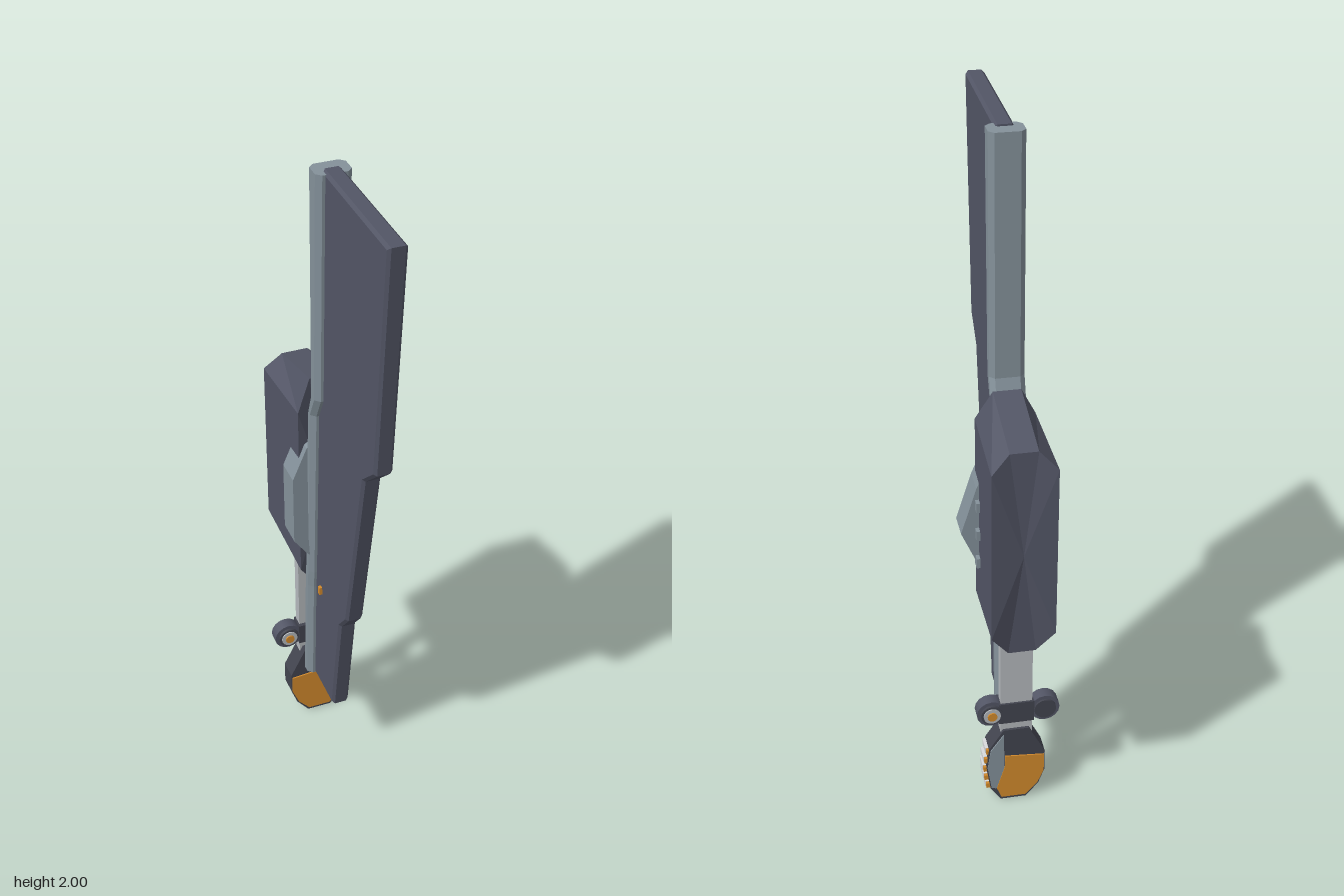
import * as THREE from 'three';

const mat = (name, color) => Object.assign(new THREE.MeshStandardMaterial({ color }), { name });

// Closed faceted solid from rings of [x, y, z] points; winding is corrected by volume sign
function loft(rings) {
  const tris = [];
  const n = rings[0].length;
  for (let r = 0; r + 1 < rings.length; r++) {
    for (let i = 0; i < n; i++) {
      const j = (i + 1) % n, a = rings[r], b = rings[r + 1];
      tris.push([a[i], a[j], b[j]], [a[i], b[j], b[i]]);
    }
  }
  const cap = (ring, flip) => {
    const c = [0, 1, 2].map(k => ring.reduce((s, p) => s + p[k], 0) / n);
    ring.forEach((p, i) => {
      const q = ring[(i + 1) % n];
      tris.push(flip ? [c, q, p] : [c, p, q]);
    });
  };
  cap(rings[0], true);
  cap(rings[rings.length - 1], false);
  let volume = 0;
  const v = p => new THREE.Vector3(...p);
  for (const [a, b, c] of tris) volume += v(a).dot(v(b).cross(v(c)));
  const flat = tris.flatMap(t => (volume < 0 ? [t[0], t[2], t[1]] : t)).flat();
  const g = new THREE.BufferGeometry();
  g.setAttribute('position', new THREE.Float32BufferAttribute(flat, 3));
  g.computeVertexNormals();
  return g;
}

// Outline in x/y extruded from z0 to z1
function slab(points, z0, z1, bevel = 0) {
  const shape = new THREE.Shape(points.map(p => new THREE.Vector2(...p)));
  const g = new THREE.ExtrudeGeometry(shape, {
    depth: z1 - z0 - 2 * bevel, bevelEnabled: bevel > 0, bevelSegments: 1,
    bevelSize: bevel, bevelThickness: bevel, bevelOffset: -bevel,
  });
  return g.translate(0, 0, z0 + bevel);
}

export function createModel() {
  const root = new THREE.Group();
  root.name = 'bladedTool';
  const slate = mat('slate', 0x525565);
  const steel = mat('steel', 0x84919a);
  const pale = mat('paleMetal', 0xb4b8bc);
  const rib = mat('offWhite', 0xd8dadc);
  const dark = mat('darkGrip', 0x42444f);
  const orange = mat('orange', 0xd28a2c);

  const add = (name, geometry, material, parent = root) => {
    const m = new THREE.Mesh(geometry, material);
    m.name = name;
    parent.add(m);
    return m;
  };
  const box = (name, x0, x1, y0, y1, z0, z1, material, parent) =>
    add(name, new THREE.BoxGeometry(x1 - x0, y1 - y0, z1 - z0)
      .translate((x0 + x1) / 2, (y0 + y1) / 2, (z0 + z1) / 2), material, parent);

  // Long stepped blade, outlined in z/y and turned to stand along z
  const blade = slab([
    [0.39, 2], [0.33, 1.32], [0.254, 1.25], [0.138, 0.67], [0.085, 0.605], [0.027, 0.24],
    [-0.14, 0.24], [-0.085, 1.25], [-0.05, 1.32], [-0.03, 2],
  ], -0.026, 0.026, 0.008);
  add('blade', blade.rotateY(-Math.PI / 2).translate(-0.015, 0, 0), slate);

  // Chamfered spine following the back of the blade: [y, front z, back z]
  const spine = [
    [0.242, -0.122, -0.17], [0.61, -0.103, -0.149], [0.67, -0.097, -0.146],
    [1.25, -0.065, -0.106], [1.32, -0.03, -0.08], [1.995, -0.005, -0.073],
  ].map(([y, f, b]) => {
    const l = -0.063, r = 0.033, c = 0.014;
    return [[l + c, y, f], [r - c, y, f], [r, y, f - c], [r, y, b + c],
      [r - c, y, b], [l + c, y, b], [l, y, b + c], [l, y, f - c]];
  });
  add('spine', loft(spine), steel);

  // Faceted housing behind the spine
  const octagon = (xi, xo, top, shoulder, hip, bottom, zTop, zSide, zBottom) => [
    [-xi, top, zTop], [xi, top, zTop], [xo, shoulder, zSide], [xo, hip, zSide],
    [xi, bottom, zBottom], [-xi, bottom, zBottom], [-xo, hip, zSide], [-xo, shoulder, zSide],
  ];
  add('housing', loft([
    octagon(0.038, 0.082, 1.32, 1.23, 0.67, 0.605, -0.147, -0.122, -0.143),
    octagon(0.038, 0.088, 1.265, 1.215, 0.70, 0.63, -0.375, -0.392, -0.368),
  ]), slate);

  // Side wedges between spine and housing
  const wedge = [[-0.01, 1.2], [0.04, 1.17], [0.09, 1.05], [0.133, 0.91], [0.085, 0.8], [0.05, 0.71], [-0.01, 0.68]];
  add('leftWedge', slab(wedge, -0.185, -0.104), steel);
  add('leftWedgeFace', slab([[0.03, 1.16], [0.125, 0.91], [0.045, 0.74]], -0.104, -0.099), pale);
  add('rightWedge', slab([
    [0, 1.16], [0, 0.7], [-0.065, 0.74], [-0.107, 0.8], [-0.107, 1.02], [-0.065, 1.12],
  ], -0.185, -0.104), steel);
  for (const y of [0.82, 0.91, 1.0]) box('wedgeTooth', 0.04, 0.094, y - 0.015, y + 0.015, -0.205, -0.18, steel);

  // Brackets joining housing and spine
  for (const y of [0.7, 0.78, 1.18]) box('bracket', -0.045, 0.045, y - 0.025, y + 0.025, -0.18, -0.1, dark);
  box('pin', -0.05, 0.037, 0.617, 0.643, -0.066, -0.054, orange);
  box('indicator', -0.024, 0.01, 1.2, 1.225, -0.132, -0.1, orange);

  // Handle shaft
  const shaft = box('shaft', -0.055, 0.037, 0.24, 0.66, -0.256, -0.225, pale);
  shaft.name = 'shaft';
  box('shaftCollar', -0.06, 0.042, 0.29, 0.36, -0.262, -0.213, dark);

  // Twin knobs, each with a ringed orange centre on one face
  const disc = (r, z0, z1, sides = 16) =>
    new THREE.CylinderGeometry(r, r, z1 - z0, sides).rotateX(Math.PI / 2).translate(0, 0, (z0 + z1) / 2);
  for (const [x, side] of [[-0.093, 1], [0.063, -1]]) {
    const knob = new THREE.Group();
    knob.name = side > 0 ? 'rightKnob' : 'leftKnob';
    knob.position.set(x, 0.325, -0.237);
    if (side < 0) knob.rotation.y = Math.PI;
    add('knobBody', disc(0.043, -0.018, 0.018), slate, knob);
    add('knobBoss', disc(0.032, -0.024, 0.026), dark, knob);
    add('knobRing', disc(0.025, 0.026, 0.03), pale, knob);
    add('knobCentre', disc(0.014, 0.03, 0.034), orange, knob);
    root.add(knob);
  }

  // Pommel with painted panels on both faces
  add('pommel', slab([
    [-0.045, 0.265], [-0.093, 0.17], [-0.093, 0.1], [-0.075, 0.05], [-0.038, 0.004],
    [0.038, 0.004], [0.068, 0.05], [0.08, 0.13], [0.072, 0.2], [0.03, 0.265],
  ], -0.264, -0.202), dark);
  const orangePanel = [[-0.09, 0.16], [0.025, 0.17], [0.026, 0.13], [0.05, 0.05], [0.036, 0.014],
    [-0.036, 0.014], [-0.071, 0.053], [-0.09, 0.1]];
  const greyPanel = [[0.03, 0.25], [0.068, 0.195], [0.077, 0.13], [0.066, 0.055], [0.051, 0.05], [0.027, 0.13]];
  for (const [z0, z1] of [[-0.202, -0.198], [-0.268, -0.264]]) {
    add('orangePanel', slab(orangePanel, z0, z1), orange);
    add('greyPanel', slab(greyPanel, z0, z1), steel);
  }

  // Finger ribs along the pommel's left edge
  for (let i = 0; i < 5; i++) {
    const y = 0.06 + i * 0.032, x = 0.076 + 0.008 * Math.sin(i * Math.PI / 4);
    box('rib', x - 0.025, x + 0.006, y - 0.009, y + 0.009, -0.252, -0.208, rib);
    box('ribTip', x - 0.02, x + 0.004, y - 0.008, y + 0.008, -0.262, -0.252, orange);
  }
  return root;
}
